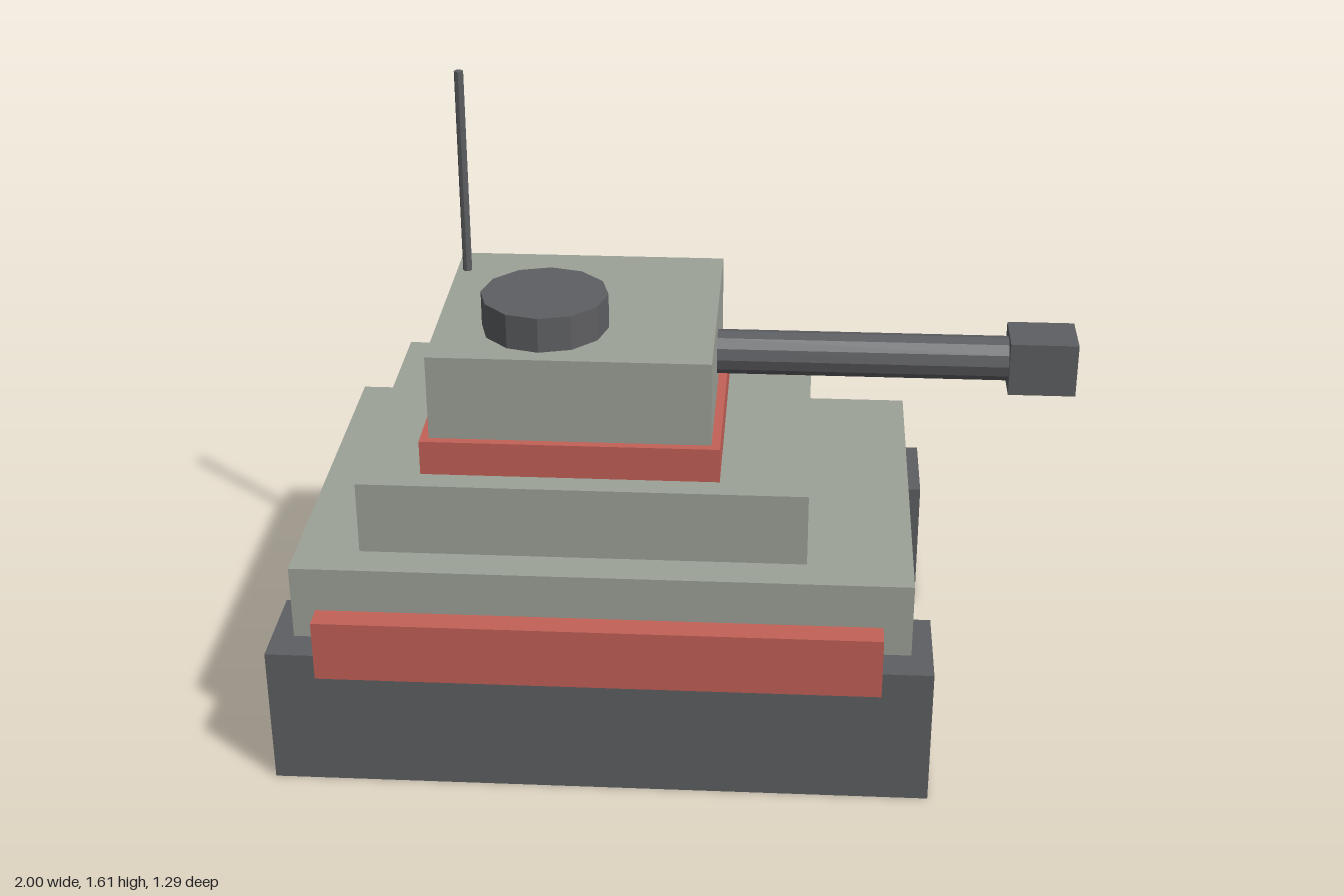
import * as THREE from 'three';

function flat(name, color) {
  const m = new THREE.MeshStandardMaterial({ color, flatShading: true });
  m.name = name;
  return m;
}

export function createModel() {
  const model = new THREE.Group();
  model.name = 'tank';
  const armour = flat('grey green armour', 0x9ca297);
  const steel = flat('dark steel', 0x5e5f62);
  const trim = flat('red trim', 0xc26157);

  function add(name, geometry, material, x, y, z) {
    const mesh = new THREE.Mesh(geometry, material);
    mesh.name = name;
    mesh.position.set(x, y, z);
    model.add(mesh);
    return mesh;
  }
  // Box given by its limits on each axis
  function box(name, material, [x0, x1], [y0, y1], [z0, z1]) {
    return add(name, new THREE.BoxGeometry(x1 - x0, y1 - y0, z1 - z0), material,
      (x0 + x1) / 2, (y0 + y1) / 2, (z0 + z1) / 2);
  }

  // Stepped body
  box('hull', armour, [-0.945, 0.595], [0.175, 0.56], [-0.51, 0.51]);
  box('upperHull', armour, [-0.785, 0.332], [0.56, 0.75], [-0.415, 0.415]);
  box('turretRing', trim, [-0.632, 0.112], [0.75, 0.84], [-0.352, 0.352]);
  box('turret', armour, [-0.61, 0.09], [0.84, 1.06], [-0.33, 0.33]);

  // Tracks and side skirts, mirrored front to back
  for (const [side, s] of [['front', 1], ['back', -1]]) {
    const span = (a, b) => (s > 0 ? [a, b] : [-b, -a]);
    box(side + 'Track', steel, [-1, 0.648], [0, 0.365], span(0.343, 0.598));
    box(side + 'Skirt', trim, [-0.867, 0.52], [0.33, 0.488], span(0.582, 0.645));
  }

  // Gun, pointing along +x
  const barrel = add('barrel', new THREE.CylinderGeometry(0.057, 0.057, 0.78, 12), steel, 0.45, 0.942, 0);
  barrel.rotation.z = -Math.PI / 2;
  box('muzzle', steel, [0.83, 1], [0.872, 1.012], [-0.07, 0.07]);

  // Roof fittings
  add('hatch', new THREE.CylinderGeometry(0.16, 0.16, 0.09, 12), steel, -0.337, 1.105, 0.127);
  add('antenna', new THREE.CylinderGeometry(0.012, 0.012, 0.55, 8), steel, -0.583, 1.332, -0.216);

  return model;
}
